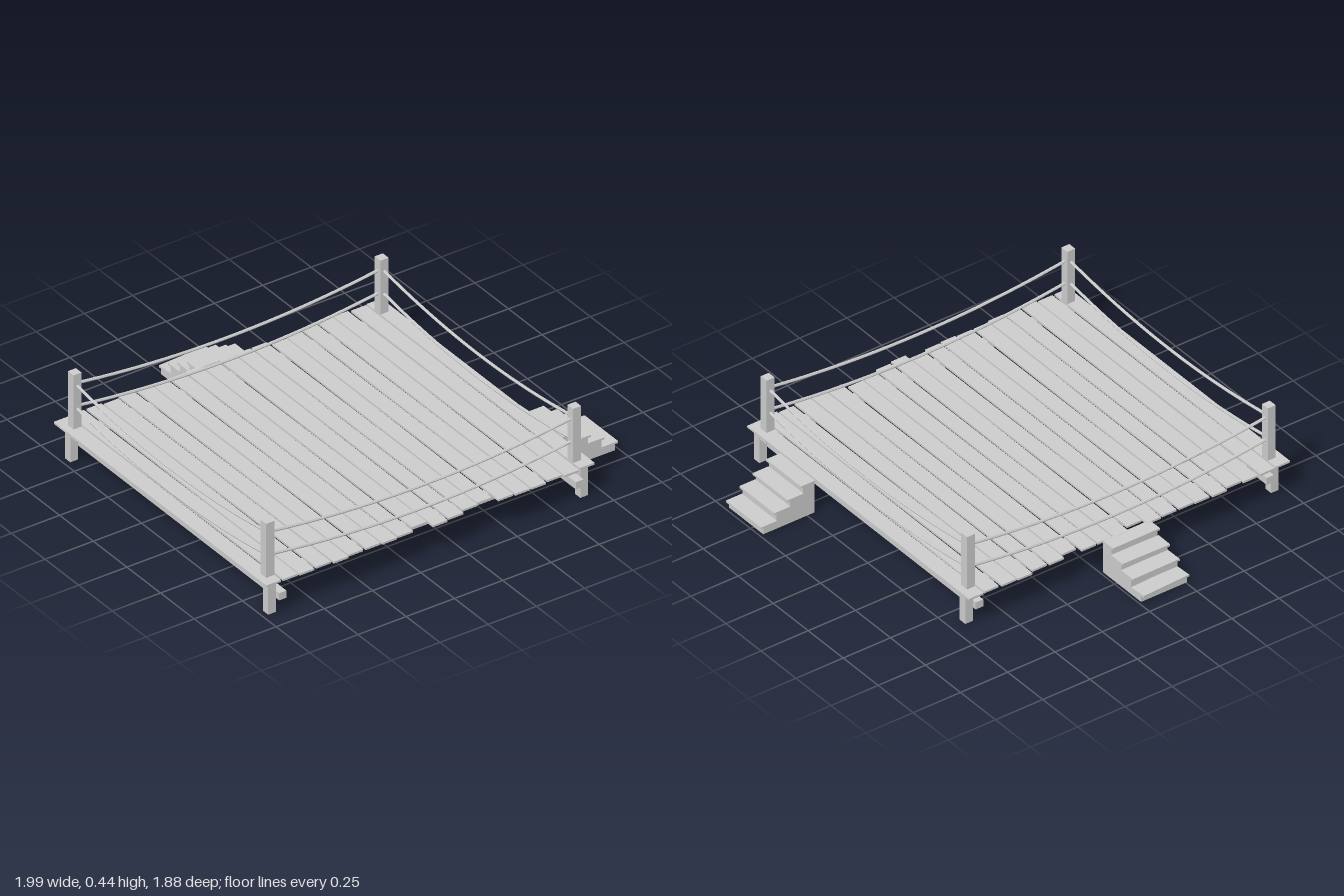
import * as THREE from 'three';

const material = new THREE.MeshStandardMaterial({ color: 0xcccccc, flatShading: true });

// Box given by its extents on each axis
function box(name, x0, x1, y0, y1, z0, z1) {
  const mesh = new THREE.Mesh(new THREE.BoxGeometry(x1 - x0, y1 - y0, z1 - z0), material);
  mesh.position.set((x0 + x1) / 2, (y0 + y1) / 2, (z0 + z1) / 2);
  mesh.name = name;
  return mesh;
}

// Rope hanging in a parabola between two points at the same height
function rope(x0, z0, x1, z1, y, sag) {
  const points = [];
  for (let i = 0; i <= 12; i++) {
    const t = i / 12;
    points.push(new THREE.Vector3(x0 + (x1 - x0) * t, y - sag * 4 * t * (1 - t), z0 + (z1 - z0) * t));
  }
  const curve = new THREE.CatmullRomCurve3(points);
  const mesh = new THREE.Mesh(new THREE.TubeGeometry(curve, 24, 0.007, 6), material);
  mesh.name = 'rope';
  return mesh;
}

// Solid stepped block descending along +x, with an overhanging tread on each step
function stairs(skew) {
  const group = new THREE.Group();
  const tops = [0.157, 0.115, 0.077, 0.032];
  const run = 0.0705;
  const width = 0.25;
  const shape = new THREE.Shape();
  shape.moveTo(0, 0);
  shape.lineTo(0, tops[0]);
  tops.forEach((y, i) => {
    const x = (i + 1) * run - 0.01;
    shape.lineTo(x, y);
    shape.lineTo(x, tops[i + 1] ?? 0);
  });
  const depth = width - 0.006;
  const body = new THREE.Mesh(
    new THREE.ExtrudeGeometry(shape, { depth, bevelEnabled: false }).translate(0, 0, -depth / 2), material);
  body.name = 'stairBody';
  group.add(body);
  tops.forEach((y, i) => {
    const tread = box('stairTread', i * run - (i ? 0.01 : 0), (i + 1) * run + 0.004, y, y + 0.01, -width / 2, width / 2);
    tread.rotation.y = skew * [0.1, -0.3, 0.2, 1][i];
    group.add(tread);
  });
  return group;
}

export function createModel() {
  const model = new THREE.Group();
  model.name = 'ropeRailedDeck';

  // Deck planks with uneven ends
  const backEnds = [0.655, 0.66, 0.66, 0.65, 0.665, 0.66, 0.655, 0.655, 0.66, 0.63,
    0.66, 0.655, 0.655, 0.63, 0.655, 0.65, 0.665, 0.66, 0.655, 0.66];
  const frontEnds = [0.925, 0.925, 0.93, 0.925, 0.935, 0.925, 0.925, 0.93, 0.925, 0.9,
    0.94, 0.93, 0.91, 0.9, 0.93, 0.935, 0.935, 0.925, 0.935, 0.925];
  const deck = new THREE.Group();
  deck.name = 'deck';
  backEnds.forEach((back, i) => {
    const x = -0.96 + i * 0.0855;
    const plank = box('plank', x - 0.038, x + 0.038, 0.158, 0.168, -back, frontEnds[i]);
    if (i > 0 && i < 19) plank.rotation.y = 0.003 * Math.sin(i * 2.3);
    deck.add(plank);
  });
  model.add(deck);

  // Upper cross beams along x, lower beams along z
  model.add(box('frontCrossBeam', -0.97, 0.682, 0.123, 0.158, 0.82, 0.86));
  model.add(box('backCrossBeam', -0.97, 0.682, 0.123, 0.158, -0.568, -0.53));
  model.add(box('rightSideBeam', -0.933, -0.895, 0.07, 0.106, -0.628, 0.927));
  model.add(box('leftSideBeam', 0.604, 0.644, 0.07, 0.106, -0.628, 0.927));

  // Legs below the deck and railing posts above it
  const postX = [-0.943, 0.647];
  const postZ = [-0.578, 0.854];
  const legX = [-0.953, 0.664];
  const legZ = [-0.588, 0.883];
  for (const i of [0, 1]) {
    for (const j of [0, 1]) {
      model.add(box('leg', legX[i] - 0.02, legX[i] + 0.02, 0, 0.158, legZ[j] - 0.02, legZ[j] + 0.02));
      model.add(box('post', postX[i] - 0.021, postX[i] + 0.021, 0.13, 0.44, postZ[j] - 0.021, postZ[j] + 0.021));
    }
  }

  // Two sagging ropes on every side
  for (const y of [0.382, 0.267]) {
    for (const z of postZ) model.add(rope(postX[0], z, postX[1], z, y, 0.057));
    for (const x of postX) model.add(rope(x, postZ[0], x, postZ[1], y, 0.057));
  }

  // Stairs at the left side and at the back
  const sideStairs = stairs(0);
  sideStairs.name = 'sideStairs';
  sideStairs.position.set(0.71, 0, 0.555);
  const backStairs = stairs(0.05);
  backStairs.name = 'backStairs';
  backStairs.position.set(-0.135, 0, -0.65);
  backStairs.rotation.y = Math.PI / 2;
  model.add(sideStairs, backStairs);

  return model;
}
